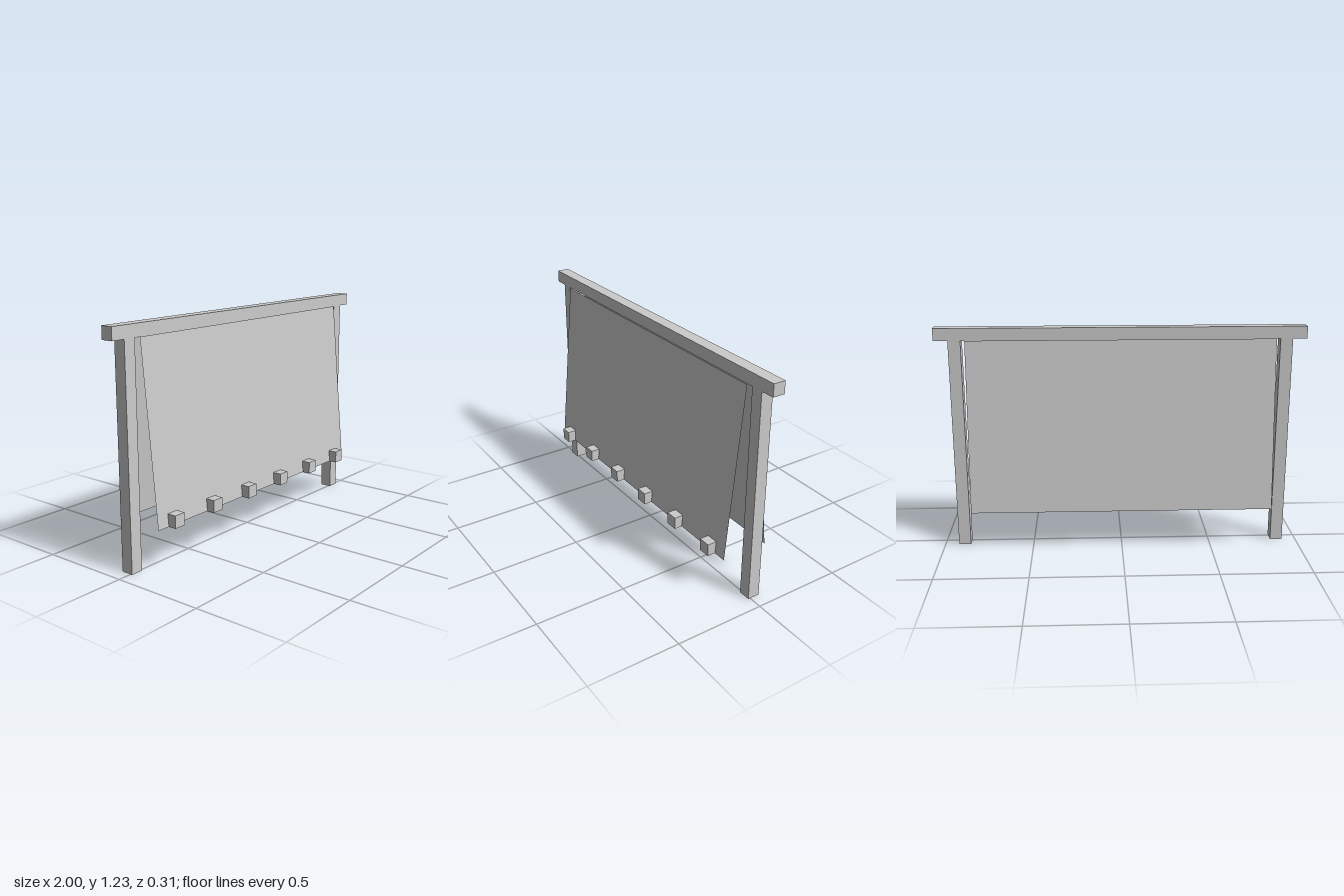
import * as THREE from 'three';

const BEAM = 0.067;      // square timber section
const MID_Z = -0.022;    // centre plane of the frame

export function createModel() {
  const group = new THREE.Group();
  const timber = new THREE.MeshStandardMaterial({ color: 0xcccccc, flatShading: true });
  const cloth = new THREE.MeshStandardMaterial({ color: 0xcccccc, side: THREE.DoubleSide });

  function addBox(name, w, h, d, x, y, z) {
    const mesh = new THREE.Mesh(new THREE.BoxGeometry(w, h, d), timber);
    mesh.name = name;
    mesh.position.set(x, y, z);
    group.add(mesh);
  }

  // Top beam and its two posts
  addBox('topBeam', 2, BEAM, BEAM, 0, 1.201, MID_Z);
  for (const [name, side] of [['leftPost', 1], ['rightPost', -1]]) {
    addBox(name, BEAM, 1.225, BEAM, side * 0.89, 0.6125, MID_Z);
  }

  // Hanging sheets, leaning outward towards the bottom
  const top = 1.17, bottom = 0.226;
  for (const [name, side] of [['frontSheet', 1], ['backSheet', -1]]) {
    const geo = new THREE.PlaneGeometry(1.666, top - bottom);
    if (side < 0) geo.rotateY(Math.PI);
    const pos = geo.attributes.position;
    for (let i = 0; i < pos.count; i++) {
      const upper = pos.getY(i) > 0;
      pos.setY(i, upper ? top : bottom);
      pos.setZ(i, MID_Z + side * (upper ? 0.044 : 0.132));
    }
    geo.computeVertexNormals();
    const sheet = new THREE.Mesh(geo, cloth);
    sheet.name = name;
    group.add(sheet);
  }

  // Row of small weights along the front sheet's lower edge
  for (let i = 0; i < 6; i++) {
    addBox('weight' + (i + 1), BEAM, BEAM, BEAM, (i - 2.5) * 0.29, 0.259, 0.121);
  }

  return group;
}
